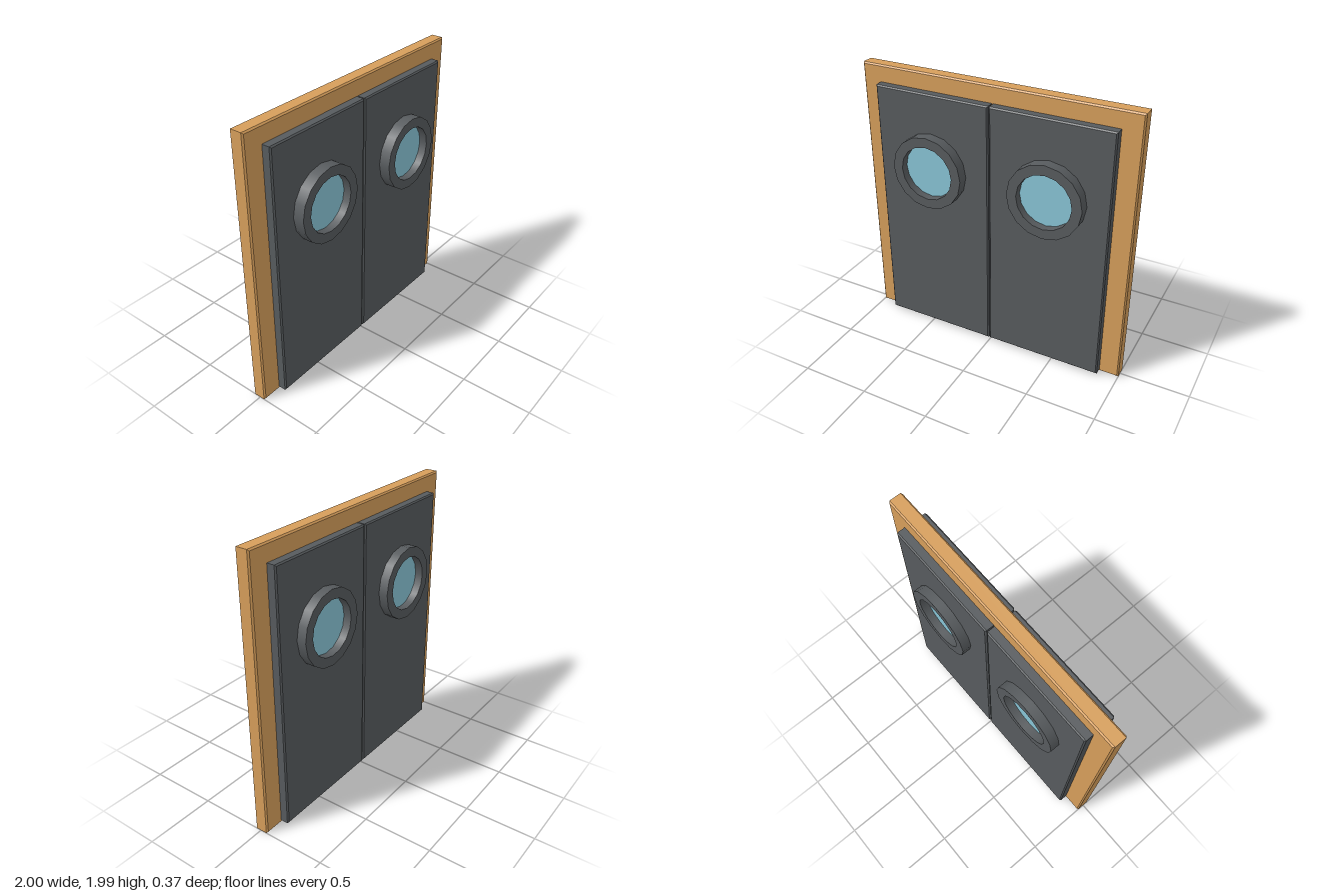
import * as THREE from 'three';

const frameMat = new THREE.MeshStandardMaterial({ name: 'orangeFrame', color: 0xd69e5b });
const doorMat = new THREE.MeshStandardMaterial({ name: 'darkGrey', color: 0x575b5e });
const glassMat = new THREE.MeshStandardMaterial({ name: 'blueGlass', color: 0x88c4d5 });

// Box between two corners with a single-segment chamfer of width b
function bevelledBox(x0, x1, y0, y1, z0, z1, b) {
  const shape = new THREE.Shape([
    new THREE.Vector2(x0 + b, y0 + b), new THREE.Vector2(x1 - b, y0 + b),
    new THREE.Vector2(x1 - b, y1 - b), new THREE.Vector2(x0 + b, y1 - b),
  ]);
  const geo = new THREE.ExtrudeGeometry(shape, {
    depth: z1 - z0 - 2 * b, bevelEnabled: true,
    bevelSize: b, bevelThickness: b, bevelSegments: 1,
  });
  return geo.translate(0, 0, z0 + b);
}

function add(parent, name, geometry, material) {
  const mesh = new THREE.Mesh(geometry, material);
  mesh.name = name;
  parent.add(mesh);
  return mesh;
}

// Porthole through the door: round-sided ring with crisp rims, and a recessed pane
function porthole() {
  const group = new THREE.Group();
  group.name = 'porthole';
  const outer = 0.265, inner = 0.195, half = 0.187, sides = 16;
  const wall = (r, side) => new THREE.CylinderGeometry(r, r, half * 2, sides, 1, true)
    .rotateX(Math.PI / 2).rotateZ(Math.PI / 2).scale(1, 1, side);
  add(group, 'ringOuterWall', wall(outer, 1), doorMat);

  // Inner wall turned inside out so that it faces the opening
  const lining = wall(inner, 1);
  lining.setIndex(Array.from(lining.index.array).reverse());
  const n = lining.attributes.normal;
  for (let i = 0; i < n.count; i++) n.setXYZ(i, -n.getX(i), -n.getY(i), -n.getZ(i));
  add(group, 'ringInnerWall', lining, doorMat);

  for (const back of [false, true]) {
    const rim = new THREE.RingGeometry(inner, outer, sides);
    if (back) rim.rotateY(Math.PI);
    rim.translate(0, 0, back ? -half : half);
    add(group, back ? 'backRim' : 'frontRim', rim, doorMat);
  }
  const pane = new THREE.CylinderGeometry(inner, inner, 0.26, sides)
    .rotateX(Math.PI / 2).rotateZ(Math.PI / 2);
  add(group, 'glassPane', pane, glassMat);
  return group;
}

export function createModel() {
  const model = new THREE.Group();
  model.name = 'doubleDoor';

  // Slab frame behind both leaves
  add(model, 'frame', bevelledBox(-1, 1, 0, 1.99, -0.057, 0.045, 0.01), frameMat);

  // Two mirrored leaves, each with a porthole
  for (const s of [-1, 1]) {
    const leaf = new THREE.Group();
    leaf.name = s > 0 ? 'leftLeaf' : 'rightLeaf';
    const xs = [s * 0.004, s * 0.86].sort((a, b) => a - b);
    add(leaf, 'panel', bevelledBox(xs[0], xs[1], 0.018, 1.87, -0.12, 0.108, 0.009), doorMat);
    const window = porthole();
    window.position.set(s * 0.437, 1.33, 0);
    leaf.add(window);
    model.add(leaf);
  }
  return model;
}
